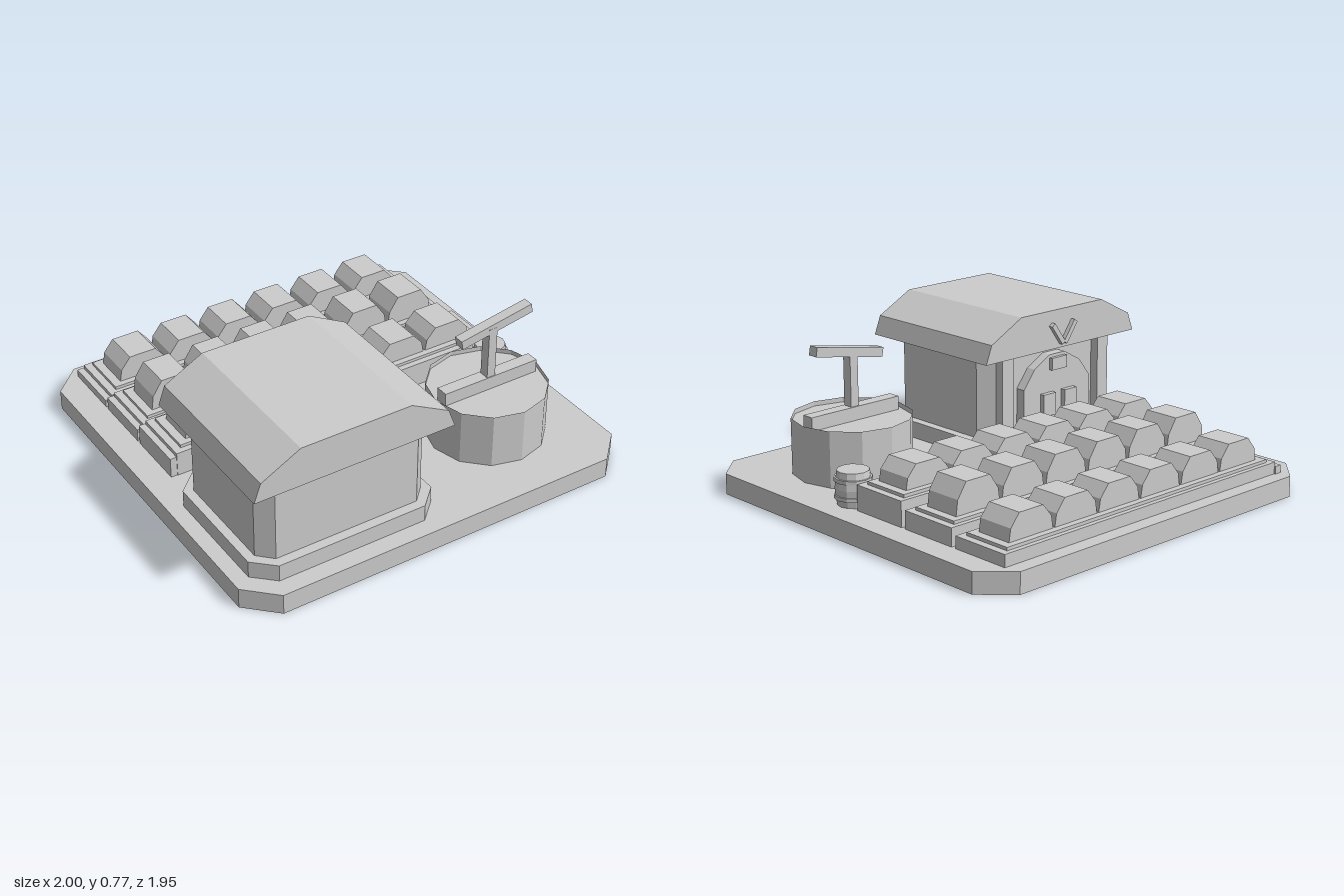
import * as THREE from 'three';

export function createModel() {
  const model = new THREE.Group();
  const stone = new THREE.MeshStandardMaterial({ color: 0xcccccc, flatShading: true, side: THREE.DoubleSide });
  stone.name = 'light grey stone';

  const add = (name, geometry, parent = model) => {
    const mesh = new THREE.Mesh(geometry, stone);
    mesh.name = name;
    parent.add(mesh);
    return mesh;
  };
  const group = (name) => {
    const g = new THREE.Group();
    g.name = name;
    model.add(g);
    return g;
  };
  // Box given by its limits on each axis
  const box = (x0, x1, y0, y1, z0, z1) =>
    new THREE.BoxGeometry(x1 - x0, y1 - y0, z1 - z0)
      .translate((x0 + x1) / 2, (y0 + y1) / 2, (z0 + z1) / 2);
  // Outline in x and y, extruded from z0 to z1
  const prism = (points, z0, z1) =>
    new THREE.ExtrudeGeometry(new THREE.Shape(points.map(([x, y]) => new THREE.Vector2(x, y))),
      { depth: z1 - z0, bevelEnabled: false }).translate(0, 0, z0);
  // Slab with cut corners in plan, open underneath
  const slab = (x0, x1, y0, y1, z0, z1, cut, cutZ = cut) => {
    const w = (x1 - x0) / 2, d = (z1 - z0) / 2;
    const solid = prism([
      [w, cutZ - d], [w, d - cutZ], [w - cut, d], [cut - w, d],
      [-w, d - cutZ], [-w, cutZ - d], [cut - w, -d], [w - cut, -d],
    ], 0, y1 - y0);
    // The first six triangles are the lower cap; leave them out
    const positions = solid.getAttribute('position').array.slice(6 * 9);
    const shell = new THREE.BufferGeometry();
    shell.setAttribute('position', new THREE.BufferAttribute(positions, 3));
    shell.rotateX(-Math.PI / 2).translate((x0 + x1) / 2, y0, (z0 + z1) / 2);
    shell.computeVertexNormals();
    return shell;
  };

  add('base', slab(-1, 1, 0, 0.1, -0.977, 0.977, 0.138, 0.135));

  // House: footing, walls and a gambrel roof
  const house = group('house');
  const mid = -0.457;
  add('footing', slab(-0.925, 0.008, 0.1, 0.182, 0.145, 0.89, 0.097, 0.092), house);
  add('walls', slab(-0.881, -0.036, 0.182, 0.59, 0.19, 0.843, 0.066), house);
  add('roof', prism([
    [-0.953, 0.58], [0.035, 0.58], [0, 0.67], [-0.19, 0.77], [-0.73, 0.77], [-0.92, 0.67],
  ], 0.11, 0.913), house);

  // Arched door at the back, with panels, posts and a crest
  add('door', prism([
    [mid - 0.22, 0.1], [mid + 0.22, 0.1], [mid + 0.22, 0.4], [mid + 0.15, 0.49],
    [mid + 0.05, 0.545], [mid - 0.05, 0.545], [mid - 0.15, 0.49], [mid - 0.22, 0.4],
  ], 0.14, 0.2), house);
  add('doorPlaque', box(mid - 0.05, mid + 0.05, 0.47, 0.53, 0.122, 0.15), house);
  for (const side of [-1, 1]) {
    const px = mid + side * 0.07;
    add('doorPanel', box(px - 0.04, px + 0.04, 0.25, 0.36, 0.115, 0.15), house);
    const cx = mid + side * 0.32;
    add('doorPost', box(cx - 0.035, cx + 0.035, 0.1, 0.58, 0.145, 0.2), house);
    const horn = add('crestHorn', new THREE.BoxGeometry(0.024, 0.12, 0.025), house);
    horn.position.set(mid + side * 0.04, 0.655, 0.1);
    horn.rotation.z = -side * 0.62;
  }
  add('planter', slab(-0.76, -0.57, 0.1, 0.18, 0.08, 0.2, 0.03), house);
  add('jar', new THREE.LatheGeometry([
    [0, 0.1], [0.03, 0.1], [0.042, 0.15], [0.036, 0.2], [0.02, 0.23], [0, 0.23],
  ].map(([r, y]) => new THREE.Vector2(r, y)), 10).translate(-0.175, 0, 0.128), house);

  // Three stepped beds, each holding six faceted blocks
  const beds = [
    { z: -0.756, low: 0.157, high: 0.172, top: 0.29 },
    { z: -0.436, low: 0.185, high: 0.2, top: 0.343 },
    { z: -0.117, low: 0.22, high: 0.235, top: 0.343 },
  ];
  for (const { z, low, high, top } of beds) {
    const bed = group('bed');
    add('bedLower', box(-0.84, 0.878, 0.1, low, z - 0.148, z + 0.148), bed);
    add('bedUpper', box(-0.803, 0.843, 0.1, high, z - 0.125, z + 0.118), bed);
    add('bedEnd', box(-0.872, -0.835, 0.1, low - 0.02, z - 0.155, z + 0.145), bed);
    const h = (top - high) * 0.5;
    for (let i = 0; i < 6; i++) {
      const x = -0.636 + i * 0.2625;
      add('block', prism([
        [x - 0.126, high], [x + 0.126, high], [x + 0.116, high + h], [x + 0.068, top],
        [x - 0.068, top], [x - 0.116, high + h],
      ], z - 0.093, z + 0.088), bed);
    }
  }

  // Round well: thin wall, sunken floor, crossbar, post and tilted lever
  const well = group('well');
  add('wellWall', new THREE.CylinderGeometry(0.284, 0.284, 0.268, 12, 1, true).translate(0.53, 0.234, 0.488), well);
  add('wellFloor', new THREE.CircleGeometry(0.284, 12).rotateX(-Math.PI / 2).translate(0.53, 0.345, 0.488), well);
  add('wellCrossbar', box(0.275, 0.787, 0.345, 0.41, 0.457, 0.519), well);
  add('wellPost', box(0.508, 0.552, 0.4, 0.67, 0.465, 0.515), well);
  const lever = add('wellLever', new THREE.BoxGeometry(0.39, 0.045, 0.052), well);
  lever.position.set(0.552, 0.672, 0.488);
  lever.rotation.z = 0.176;

  // Barrel with two raised hoops
  const barrel = group('barrel');
  const staves = [[0, 0.1], [0.074, 0.1], [0.08, 0.14], [0.084, 0.18], [0.08, 0.22], [0.074, 0.26], [0, 0.26]];
  add('barrelBody', new THREE.LatheGeometry(staves.map(([r, y]) => new THREE.Vector2(r, y)), 12)
    .translate(0.828, 0, 0.117), barrel);
  for (const y of [0.14, 0.22]) {
    add('barrelHoop', new THREE.CylinderGeometry(0.087, 0.087, 0.018, 12).translate(0.828, y, 0.117), barrel);
  }

  return model;
}
